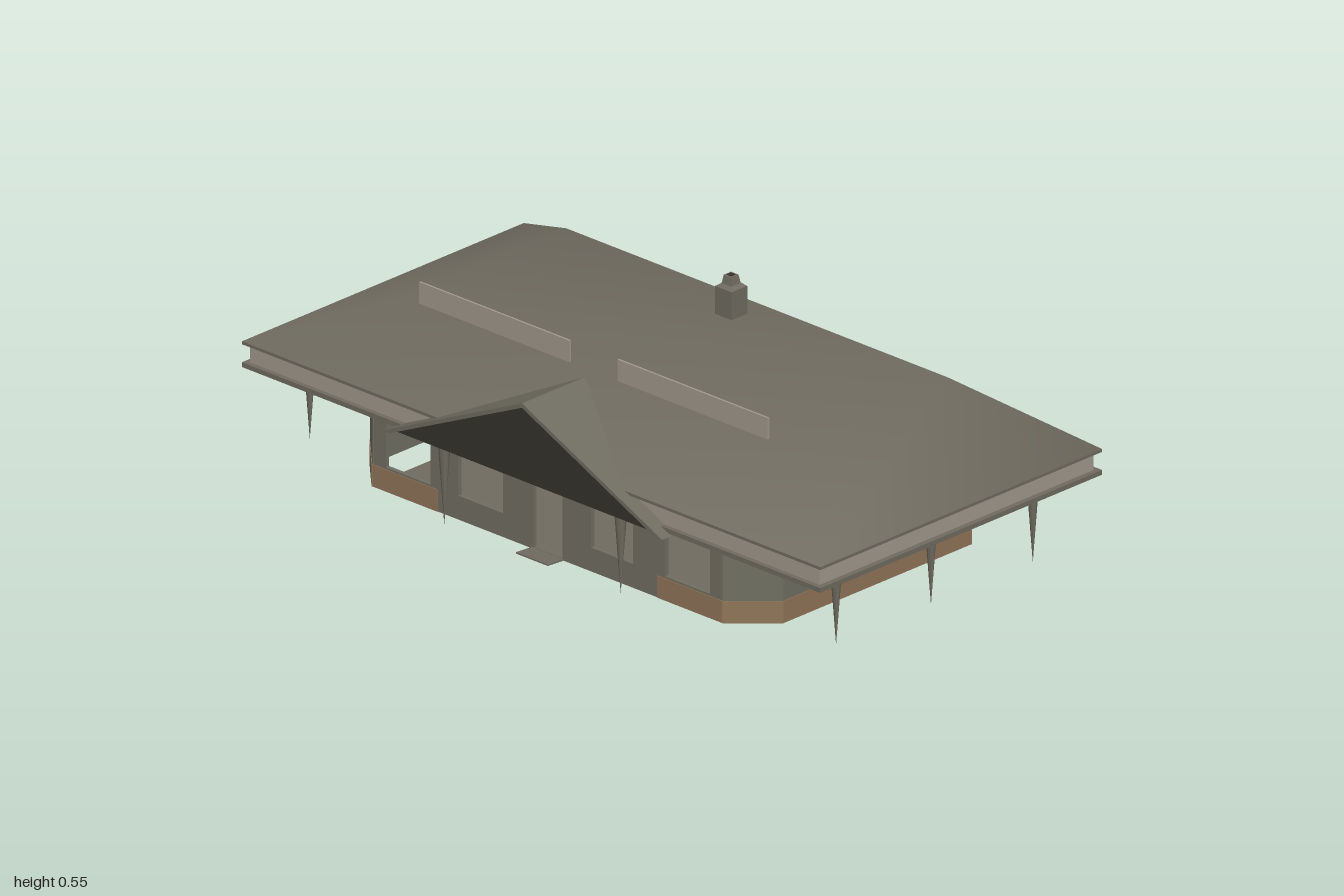
import * as THREE from 'three';

const mat = (name, color, side = THREE.FrontSide) => {
  const m = new THREE.MeshStandardMaterial({ color, side });
  m.name = name;
  return m;
};

export function createModel() {
  const model = new THREE.Group();
  model.name = 'pavilion';
  const roofGrey = mat('roofGrey', 0x6f6b60);
  const wallGrey = mat('wallGrey', 0x706e62, THREE.DoubleSide);
  const trimGrey = mat('trimGrey', 0xa0988c);
  const brown = mat('wainscotBrown', 0x8f7458);
  const dark = mat('pedimentDark', 0x34322c);

  const add = (name, geo, material, x = 0, y = 0, z = 0, parent = model) => {
    const m = new THREE.Mesh(geo, material);
    m.name = name;
    m.position.set(x, y, z);
    parent.add(m);
    return m;
  };
  // box given by its limits
  const box = (name, material, x0, x1, y0, y1, z0, z1, parent) =>
    add(name, new THREE.BoxGeometry(x1 - x0, y1 - y0, z1 - z0), material,
      (x0 + x1) / 2, (y0 + y1) / 2, (z0 + z1) / 2, parent);

  // ---- walls: an elongated octagon, each side a panel with openings ----
  const H = 0.225, T = 0.012;
  // local x runs left to right as seen from outside; openings are [x0, x1, y0, y1]
  const wall = (name, x, z, angle, width, openings, bands) => {
    const g = new THREE.Group();
    g.name = name;
    g.position.set(x, 0, z);
    g.rotation.y = angle;
    const s = new THREE.Shape();
    const w = width / 2;
    const doors = openings.filter(o => o[2] === 0);
    s.moveTo(-w, 0);
    for (const [a, b, , top] of doors) {
      s.lineTo(a, 0); s.lineTo(a, top); s.lineTo(b, top); s.lineTo(b, 0);
    }
    s.lineTo(w, 0); s.lineTo(w, H); s.lineTo(-w, H); s.closePath();
    for (const [a, b, c, d] of openings.filter(o => o[2] > 0)) {
      const h = new THREE.Path();
      h.moveTo(a, c); h.lineTo(a, d); h.lineTo(b, d); h.lineTo(b, c); h.closePath();
      s.holes.push(h);
    }
    add(name + 'Panel', new THREE.ExtrudeGeometry(s, { depth: T, bevelEnabled: false }),
      wallGrey, 0, 0, -T, g);
    for (const [a, b] of bands) box('wainscot', brown, a, b, 0, 0.06, -0.001, 0.002, g);
    model.add(g);
  };
  const win = (a, b, top = 0.185) => [a, b, 0.065, top];
  const door = [-0.05, 0.05, 0, 0.205];
  const ends = [[-0.605, -0.38], [0.38, 0.605]];
  wall('frontWall', 0, 0.44, 0, 1.21,
    [door, win(-0.56, -0.405), win(-0.31, -0.155), win(0.15, 0.295), win(0.405, 0.56)], ends);
  wall('backWall', 0, -0.443, Math.PI, 1.21,
    [door, win(-0.56, -0.405, 0.15), win(-0.31, -0.15), win(0.15, 0.31), win(0.405, 0.56)], ends);
  wall('leftWall', 0.713, 0, Math.PI / 2, 0.674,
    [win(-0.25, -0.1), win(0.05, 0.155)], [[-0.337, 0.337]]);
  wall('rightWall', -0.713, 0, -Math.PI / 2, 0.674,
    [win(0.1, 0.25), win(-0.25, -0.1)], [[-0.337, 0.337]]);
  for (const sx of [1, -1]) for (const sz of [1, -1]) {
    wall('cornerWall', sx * 0.66, sz * 0.389, Math.atan2(sx * 0.105, sz * 0.109), 0.152, [],
      [[-0.076, 0.076]]);
  }

  // floor and door steps
  box('floor', roofGrey, -0.605, 0.605, 0, 0.004, -0.44, 0.438);
  box('backStep', roofGrey, -0.06, 0.06, 0, 0.003, -0.537, -0.44);
  const ramp = box('frontStep', roofGrey, -0.055, 0.055, 0, 0.004, 0.44, 0.497);
  ramp.rotation.x = -0.06;
  ramp.position.y = 0.004;

  // ---- eaves: two projecting lips with a pale fascia between ----
  box('lowerLip', roofGrey, -1, 1, 0.222, 0.235, -0.51, 0.5);
  box('fascia', trimGrey, -0.985, 0.985, 0.235, 0.284, -0.495, 0.487);
  box('upperLip', roofGrey, -1, 1, 0.284, 0.292, -0.51, 0.5);

  // ---- hip roof with a flat top, softly shaded ----
  const hip = new THREE.BufferGeometry();
  const ring = (x, y, z0, z1) => [-x, y, z1, x, y, z1, x, y, z0, -x, y, z0];
  hip.setAttribute('position', new THREE.Float32BufferAttribute(
    [...ring(1, 0.292, -0.51, 0.5), ...ring(0.66, 0.446, -0.31, 0.3)], 3));
  const idx = [4, 5, 6, 4, 6, 7];
  for (let i = 0; i < 4; i++) {
    const j = (i + 1) % 4;
    idx.push(i, j, j + 4, i, j + 4, i + 4);
  }
  hip.setIndex(idx);
  hip.computeVertexNormals();
  add('hipRoof', hip, roofGrey);

  // ---- front gable ----
  const triangle = (w, y0, y1) => {
    const s = new THREE.Shape();
    s.moveTo(-w, y0); s.lineTo(w, y0); s.lineTo(0, y1); s.closePath();
    return s;
  };
  add('pediment', new THREE.ExtrudeGeometry(triangle(0.465, 0.223, 0.434),
    { depth: 0.23, bevelEnabled: false }), [dark, roofGrey], 0, 0, 0.29);
  const slopes = new THREE.Shape();
  [[-0.485, 0.218], [-0.46, 0.218], [0, 0.429], [0.46, 0.218], [0.485, 0.218], [0, 0.441]]
    .forEach(([x, y], i) => (i ? slopes.lineTo(x, y) : slopes.moveTo(x, y)));
  slopes.closePath();
  add('gableRoof', new THREE.ExtrudeGeometry(slopes, { depth: 0.245, bevelEnabled: false }),
    roofGrey, 0, 0, 0.288);

  // ---- upright panels on the roof ----
  for (const s of [1, -1]) {
    add('roofPanel', new THREE.BoxGeometry(0.52, 0.065, 0.006), trimGrey, s * 0.343, 0.472, 0.274);
  }

  // ---- chimney: stack, sloped cap and hollow pot ----
  const cz = -0.217;
  box('chimneyStack', roofGrey, -0.029, 0.029, 0.44, 0.522, cz - 0.028, cz + 0.028);
  const frustum = (rTop, rBottom, h) =>
    new THREE.CylinderGeometry(rTop * Math.SQRT2, rBottom * Math.SQRT2, h, 4)
      .rotateY(Math.PI / 4).toNonIndexed();
  const flat = g => { g.computeVertexNormals(); return g; };
  add('chimneyCap', flat(frustum(0.018, 0.028, 0.008)), roofGrey, 0, 0.526, cz);
  add('chimneyPot', flat(frustum(0.013, 0.017, 0.023)), roofGrey, 0, 0.541, cz);
  add('flue', new THREE.BoxGeometry(0.016, 0.002, 0.016), dark, 0, 0.5525, cz);

  // ---- tapering posts under the eaves, pointed at the foot ----
  const post = new THREE.ConeGeometry(0.016, 0.22, 8).rotateX(Math.PI);
  for (const s of [1, -1]) {
    for (const [x, z] of [[0.305, 0.495], [0.91, 0.35], [0.91, 0.01], [0.91, -0.355]]) {
      add('post', post, roofGrey, s * x, 0.115, z);
    }
  }
  return model;
}
